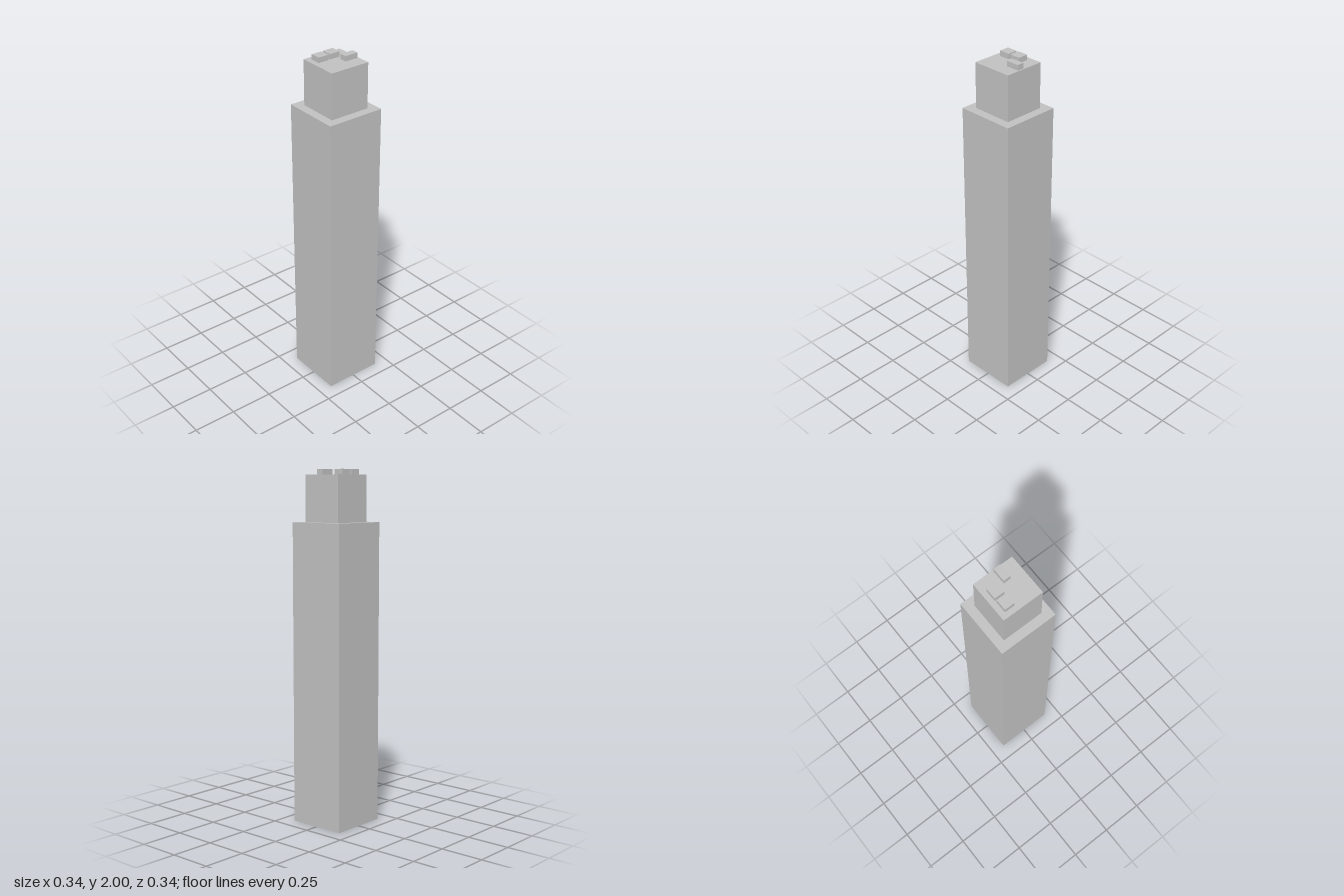
import * as THREE from 'three';

export function createModel() {
  const model = new THREE.Group();
  model.name = 'skyscraper';

  const concrete = new THREE.MeshStandardMaterial({ color: 0xc0c0c0, side: THREE.DoubleSide });
  concrete.name = 'concrete grey';

  // Block given by its extents, with the underside left open
  function addBlock(name, [x0, x1], [y0, y1], [z0, z1]) {
    const geometry = new THREE.BoxGeometry(x1 - x0, y1 - y0, z1 - z0);
    const faces = Array.from(geometry.index.array);
    faces.splice(18, 6); // the downward face
    geometry.setIndex(faces);
    geometry.clearGroups();
    const mesh = new THREE.Mesh(geometry, concrete);
    mesh.name = name;
    mesh.position.set((x0 + x1) / 2, (y0 + y1) / 2, (z0 + z1) / 2);
    model.add(mesh);
  }

  // Main shaft and the set-back upper storeys
  addBlock('towerShaft', [-0.17, 0.17], [0, 1.71], [-0.17, 0.17]);
  addBlock('upperBlock', [-0.119, 0.119], [1.71, 1.97], [-0.119, 0.119]);

  // Plant housings on the roof
  const roof = [1.97, 2];
  addBlock('roofHousingRight', [-0.089, -0.025], roof, [-0.088, -0.029]);
  addBlock('roofHousingMiddle', [-0.014, 0.05], roof, [-0.09, -0.031]);
  addBlock('roofHousingLeft', [0.032, 0.111], roof, [0, 0.04]);

  return model;
}
